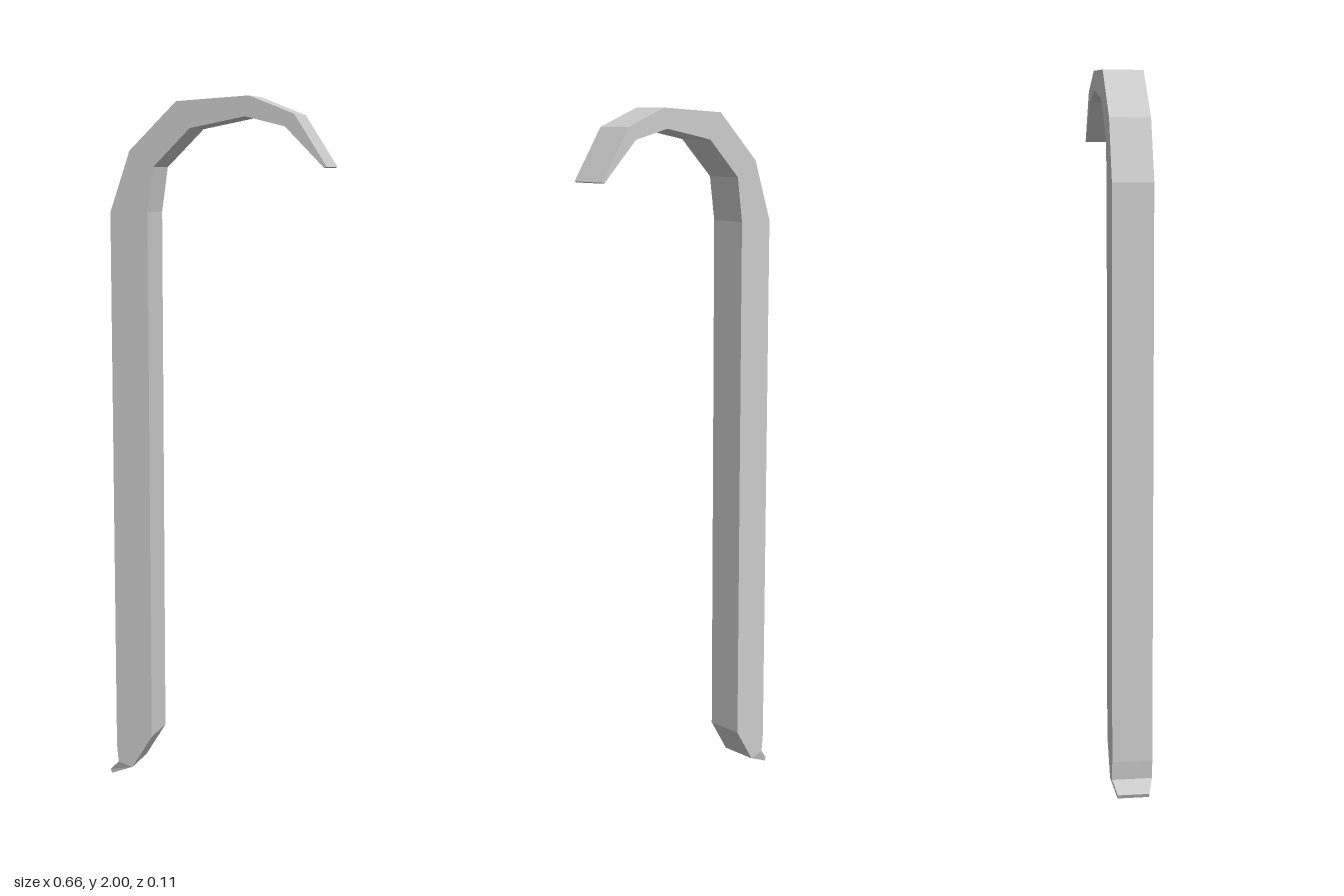
import * as THREE from 'three';

// Skin four-cornered sections [outerX, outerY, innerX, innerY, halfWidth] into a capped bar
function loftBar(sections) {
  const positions = [];
  const indices = [];
  for (const [ox, oy, ix, iy, w] of sections) {
    positions.push(ox, oy, w, ix, iy, w, ix, iy, -w, ox, oy, -w);
  }
  for (let i = 0; i < sections.length - 1; i++) {
    for (let k = 0; k < 4; k++) {
      const a = i * 4 + k;
      const b = i * 4 + ((k + 1) % 4);
      indices.push(a, b, b + 4, a, b + 4, a + 4);
    }
  }
  const e = (sections.length - 1) * 4;
  indices.push(0, 3, 2, 0, 2, 1, e, e + 1, e + 2, e, e + 2, e + 3);

  const indexed = new THREE.BufferGeometry();
  indexed.setAttribute('position', new THREE.Float32BufferAttribute(positions, 3));
  indexed.setIndex(indices);
  const geometry = indexed.toNonIndexed();
  geometry.computeVertexNormals();
  return geometry;
}

export function createModel() {
  const group = new THREE.Group();
  group.name = 'pryBar';
  const material = new THREE.MeshStandardMaterial({ color: 0xcccccc, flatShading: true });
  const w = 0.056;

  const sections = [
    // narrowed foot tip
    [-0.33, 0.015, -0.325, 0.004, 0.044],
    [-0.298, 0.048, -0.253, 0.037, w],
    // straight shaft
    [-0.303, 0.1, -0.19, 0.14, w],
    [-0.303, 1.685, -0.19, 1.685, w],
    // hook bend
    [-0.243, 1.855, -0.172, 1.81, w],
    [-0.103, 1.988, -0.063, 1.915, w],
    [0.108, 2.0, 0.097, 1.945, w],
    [0.236, 1.95, 0.21, 1.917, w],
    // thin claw edge
    [0.328, 1.81, 0.321, 1.807, w],
  ].map(([ox, oy, ix, iy, h]) => [ox, oy - 0.004, ix, iy - 0.004, h]);

  const bar = new THREE.Mesh(loftBar(sections), material);
  bar.name = 'hookedBar';
  group.add(bar);
  return group;
}
